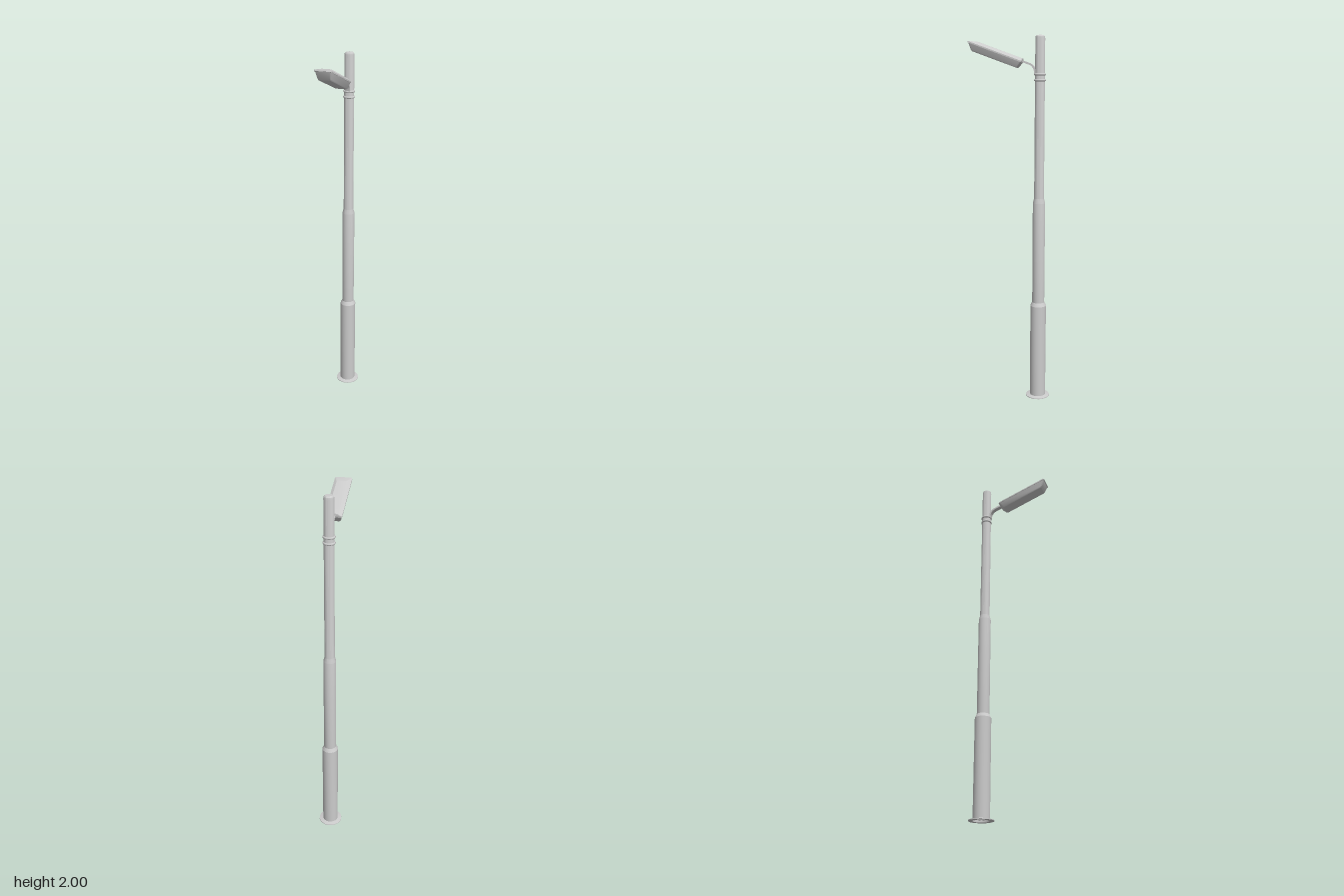
import * as THREE from 'three';
import { toCreasedNormals } from 'three/addons/utils/BufferGeometryUtils.js';

const POLE_Z = -0.16;
const TILT = THREE.MathUtils.degToRad(20);
const material = new THREE.MeshStandardMaterial({ color: 0xcccccc });
const openMaterial = new THREE.MeshStandardMaterial({ color: 0xcccccc, side: THREE.DoubleSide });

function part(name, geometry, mat = material) {
  const mesh = new THREE.Mesh(geometry, mat);
  mesh.name = name;
  return mesh;
}

function lathe(profile, segments = 20) {
  const points = profile.map(([r, y]) => new THREE.Vector2(r, y));
  return toCreasedNormals(new THREE.LatheGeometry(points, segments), 0.4);
}

// One rounded rectangle outline in the horizontal plane
function outline([y, halfWidth, near, far], radius = 0.008, steps = 3) {
  const corners = [[1, far, 0], [-1, far, 1], [-1, near, 2], [1, near, 3]];
  const loop = [];
  for (const [side, z, quarter] of corners) {
    const cx = side * (halfWidth - radius);
    const cz = z + (quarter < 2 ? -radius : radius);
    for (let i = 0; i <= steps; i++) {
      const a = (quarter + i / steps) * Math.PI / 2;
      loop.push([cx + radius * Math.cos(a), y, cz + radius * Math.sin(a)]);
    }
  }
  return loop;
}

// Closed solid through outlines stacked from top to bottom
function stack(layers) {
  const loops = layers.map((layer) => outline(layer));
  const n = loops[0].length;
  const positions = loops.flat(2);
  const index = [];
  for (let k = 0; k < loops.length - 1; k++) {
    for (let i = 0; i < n; i++) {
      const a = k * n + i, b = k * n + (i + 1) % n;
      index.push(a, b, a + n, b, b + n, a + n);
    }
  }
  const last = (loops.length - 1) * n;
  for (let i = 1; i < n - 1; i++) {
    index.push(0, i + 1, i, last, last + i, last + i + 1);
  }
  const geometry = new THREE.BufferGeometry();
  geometry.setAttribute('position', new THREE.Float32BufferAttribute(positions, 3));
  geometry.setIndex(index);
  return toCreasedNormals(geometry, 0.5);
}

// Flat strap that follows a curve in the z-y plane
function strap(points, thickness, width) {
  const curve = new THREE.CatmullRomCurve3(points.map(([z, y]) => new THREE.Vector3(z, y, 0)));
  const upper = [], lower = [];
  for (let i = 0; i <= 12; i++) {
    const p = curve.getPoint(i / 12), t = curve.getTangent(i / 12);
    const nx = -t.y * thickness / 2, ny = t.x * thickness / 2;
    upper.push(new THREE.Vector2(p.x + nx, p.y + ny));
    lower.unshift(new THREE.Vector2(p.x - nx, p.y - ny));
  }
  const geometry = new THREE.ExtrudeGeometry(new THREE.Shape([...upper, ...lower]), {
    depth: width, bevelEnabled: false,
  });
  geometry.translate(0, 0, -width / 2);
  geometry.rotateY(-Math.PI / 2);
  return toCreasedNormals(geometry, 0.5);
}

export function createModel() {
  const model = new THREE.Group();
  model.name = 'streetLamp';

  // Stepped pole on a thin flange
  const pole = new THREE.Group();
  pole.name = 'pole';
  pole.position.z = POLE_Z;
  pole.add(part('baseFlange', lathe([[0.043, 0], [0.066, 0], [0.066, 0.004], [0.043, 0.009]]), openMaterial));
  pole.add(part('poleShaft', lathe([
    [0.044, 0], [0.044, 0.535], [0.034, 0.555],
    [0.034, 1.115], [0.027, 1.14],
    [0.026, 1.985], [0.024, 1.994], [0.018, 2], [0, 2],
  ]), openMaterial));

  // Two clamp rings below the arm
  for (const y of [1.77, 1.8]) {
    const ring = part('clampRing', new THREE.TorusGeometry(0.026, 0.006, 8, 20));
    ring.rotation.x = Math.PI / 2;
    ring.position.y = y;
    pole.add(ring);
  }
  model.add(pole);

  // Curved arm from pole to lamp head
  model.add(part('arm', strap([
    [-0.137, 1.8], [-0.132, 1.825], [-0.117, 1.847], [-0.09, 1.859], [-0.05, 1.873],
  ], 0.01, 0.025)));

  // Tilted lamp head: shallow lid above a tapering tray
  const head = new THREE.Group();
  head.name = 'lampHead';
  head.position.set(0, 1.88, -0.072);
  head.rotation.x = -TILT;
  head.add(part('headLid', stack([
    [0, 0.027, 0.004, 0.262],
    [-0.013, 0.044, 0, 0.307],
    [-0.02, 0.044, 0, 0.307],
  ])));
  head.add(part('headTray', stack([
    [-0.018, 0.042, 0.002, 0.303],
    [-0.05, 0.034, 0.012, 0.278],
    [-0.055, 0.031, 0.016, 0.27],
  ])));
  model.add(head);

  return model;
}
